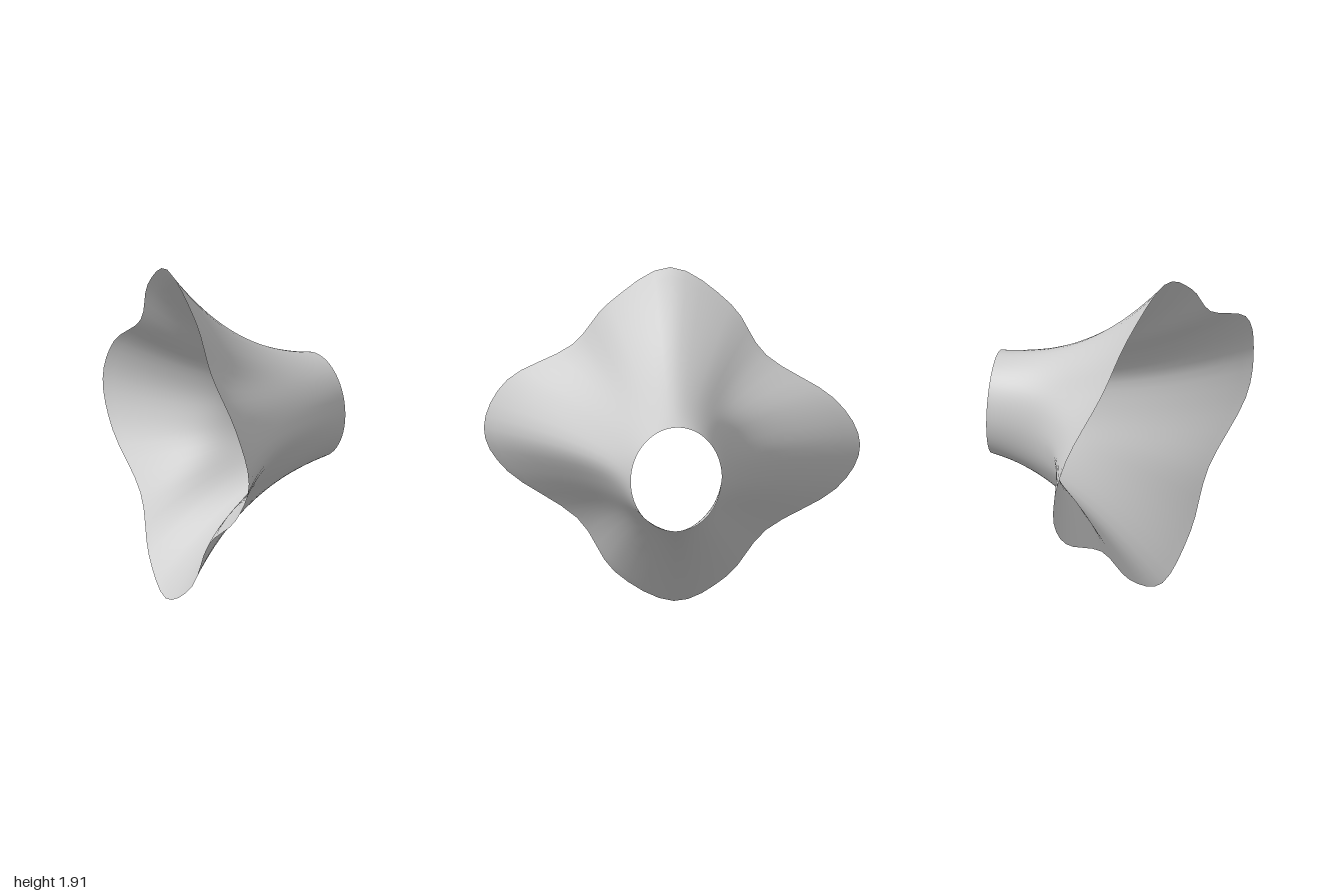
import * as THREE from 'three';

const AROUND = 64, ALONG = 28;

// Smooth closed ring through a few anchors, starting at +x and running over the top.
const ring = (pts) =>
  new THREE.CatmullRomCurve3(pts.map((p) => new THREE.Vector3(...p)), true, 'catmullrom', 0.5);

// Oval throat opening at the back.
const throat = ring(Array.from({ length: 16 }, (_, i) => {
  const a = (i / 16) * Math.PI * 2;
  return [0.12 + 0.255 * Math.cos(a), 0.957 + 0.298 * Math.sin(a), -0.63];
}));

// Control ring that shapes the neck.
const neck = ring([
  [0.43, 0.96, -0.25], [0.31, 1.19, -0.22], [0.1, 1.31, -0.35], [-0.12, 1.19, -0.28],
  [-0.2, 0.97, -0.2], [-0.12, 0.73, -0.28], [0.09, 0.61, -0.4], [0.31, 0.72, -0.22],
]);

// Control ring that shapes the flare.
const flare = ring([
  [0.5, 0.96, 0.05], [0.43, 1.13, 0.13], [0.35, 1.27, 0.18], [0.21, 1.36, 0.06],
  [0.05, 1.41, -0.03], [-0.1, 1.36, -0.07], [-0.22, 1.26, -0.08], [-0.25, 1.13, -0.13],
  [-0.25, 0.97, -0.18], [-0.25, 0.8, -0.13], [-0.22, 0.66, -0.08], [-0.1, 0.54, -0.09],
  [0.04, 0.49, -0.09], [0.21, 0.54, 0.06], [0.35, 0.63, 0.18], [0.43, 0.79, 0.13],
]);

// Four-lobed front rim, leaning forward on one side.
const rim = ring([
  [1, 0.96, 0.625], [0.87, 1.235, 0.61], [0.53, 1.45, 0.49], [0.33, 1.7, 0.43],
  [0, 1.91, 0.35], [-0.32, 1.72, 0.215], [-0.5, 1.45, 0.11], [-0.86, 1.22, -0.01],
  [-1, 0.96, -0.05], [-0.87, 0.7, -0.01], [-0.5, 0.45, 0.11], [-0.3, 0.165, 0.225],
  [-0.02, 0, 0.345], [0.3, 0.16, 0.43], [0.5, 0.46, 0.485], [0.87, 0.71, 0.61],
]);

export function createModel() {
  const pos = [], index = [];
  // Sweep a Bezier profile from throat to rim around the opening.
  for (let i = 0; i < AROUND; i++) {
    const profile = new THREE.CubicBezierCurve3(
      ...[throat, neck, flare, rim].map((r) => r.getPoint(i / AROUND)));
    for (let j = 0; j <= ALONG; j++) pos.push(...profile.getPoint(j / ALONG).toArray());
  }
  const at = (i, j) => (i % AROUND) * (ALONG + 1) + j;
  for (let i = 0; i < AROUND; i++) {
    for (let j = 0; j < ALONG; j++) {
      const a = at(i, j), b = at(i + 1, j), c = at(i + 1, j + 1), d = at(i, j + 1);
      index.push(a, b, c, a, c, d);
    }
  }
  const geometry = new THREE.BufferGeometry();
  geometry.setAttribute('position', new THREE.Float32BufferAttribute(pos, 3));
  geometry.setIndex(index);
  geometry.computeVertexNormals();

  const shell = new THREE.Mesh(geometry,
    new THREE.MeshStandardMaterial({ color: 0xcccccc, side: THREE.DoubleSide }));
  shell.name = 'flaredShell';
  const group = new THREE.Group();
  group.name = 'lobedHorn';
  group.add(shell);
  return group;
}
